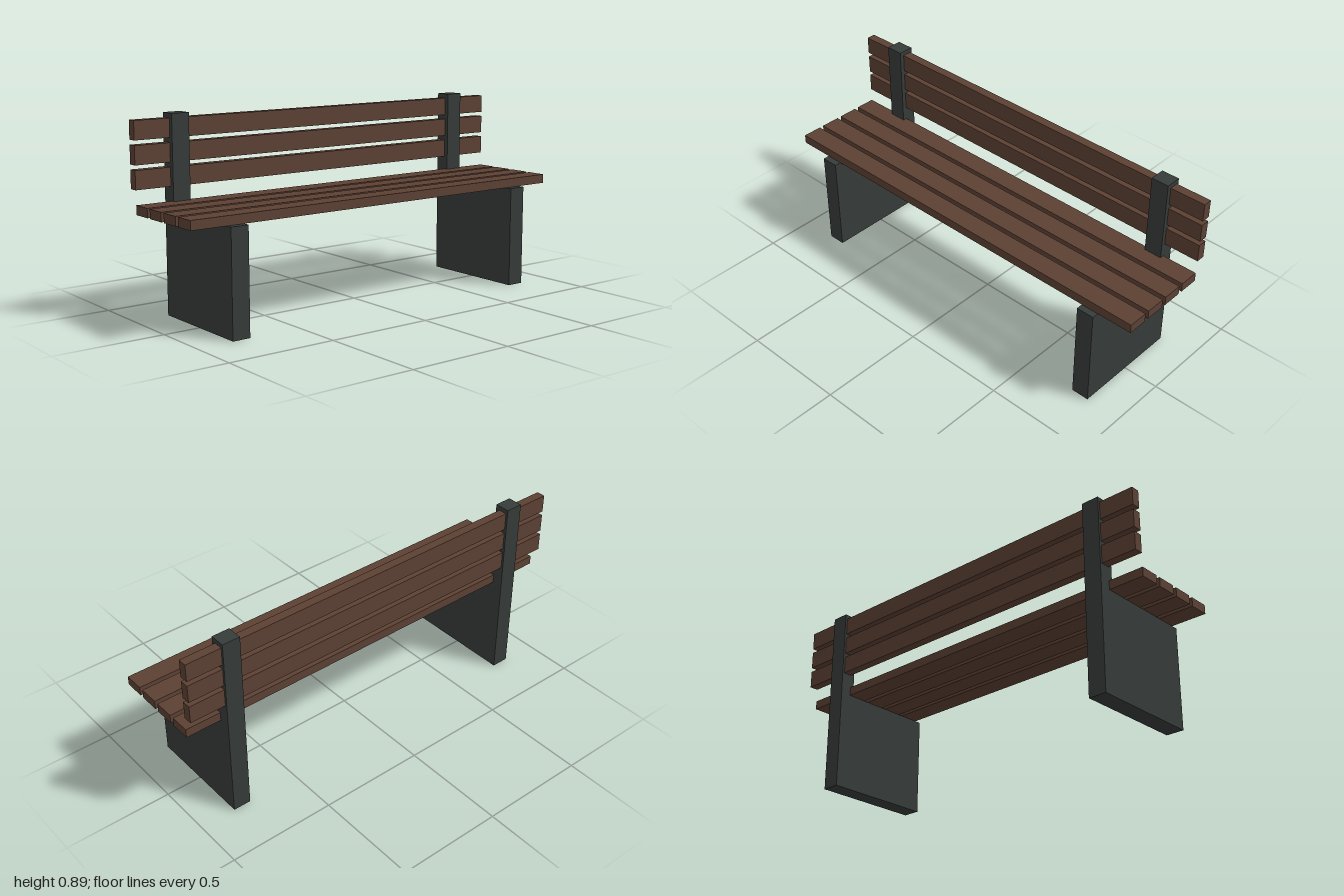
import * as THREE from 'three';

export function createModel() {
  const bench = new THREE.Group();
  bench.name = 'bench';
  const wood = new THREE.MeshStandardMaterial({ color: 0x5c4033 });
  const iron = new THREE.MeshStandardMaterial({ color: 0x363c39 });

  // Side supports: a wide leg panel and a back post as one L-shaped plate
  const front = 0.263, back = -0.263, postFront = -0.19;
  const seatY = 0.474, topY = 0.895, thickness = 0.084;
  const outline = new THREE.Shape([
    [-front, 0], [-back, 0], [-back, topY],
    [-postFront, topY], [-postFront, seatY], [-front, seatY],
  ].map(([u, v]) => new THREE.Vector2(u, v)));
  const plate = new THREE.ExtrudeGeometry(outline, { depth: thickness, bevelEnabled: false });
  plate.translate(0, 0, -thickness / 2);
  plate.rotateY(Math.PI / 2); // outline runs along -z, thickness along x

  for (const [name, side] of [['leftSupport', 1], ['rightSupport', -1]]) {
    const support = new THREE.Mesh(plate, iron);
    support.name = name;
    support.position.x = side * 0.789;
    bench.add(support);
  }

  // Full-length boards
  const addSlat = (name, height, depth, y, z) => {
    const slat = new THREE.Mesh(new THREE.BoxGeometry(2, height, depth), wood);
    slat.name = name;
    slat.position.set(0, y, z);
    bench.add(slat);
  };

  // Seat slats, front to back
  for (let i = 0; i < 4; i++) {
    addSlat(`seatSlat${i + 1}`, 0.042, 0.0947, seatY + 0.021, 0.185 - i * 0.1158);
  }

  // Backrest slats, let into the posts, top to bottom
  for (let i = 0; i < 3; i++) {
    addSlat(`backSlat${i + 1}`, 0.084, 0.042, 0.832 - i * 0.1053, -0.2315);
  }

  return bench;
}
